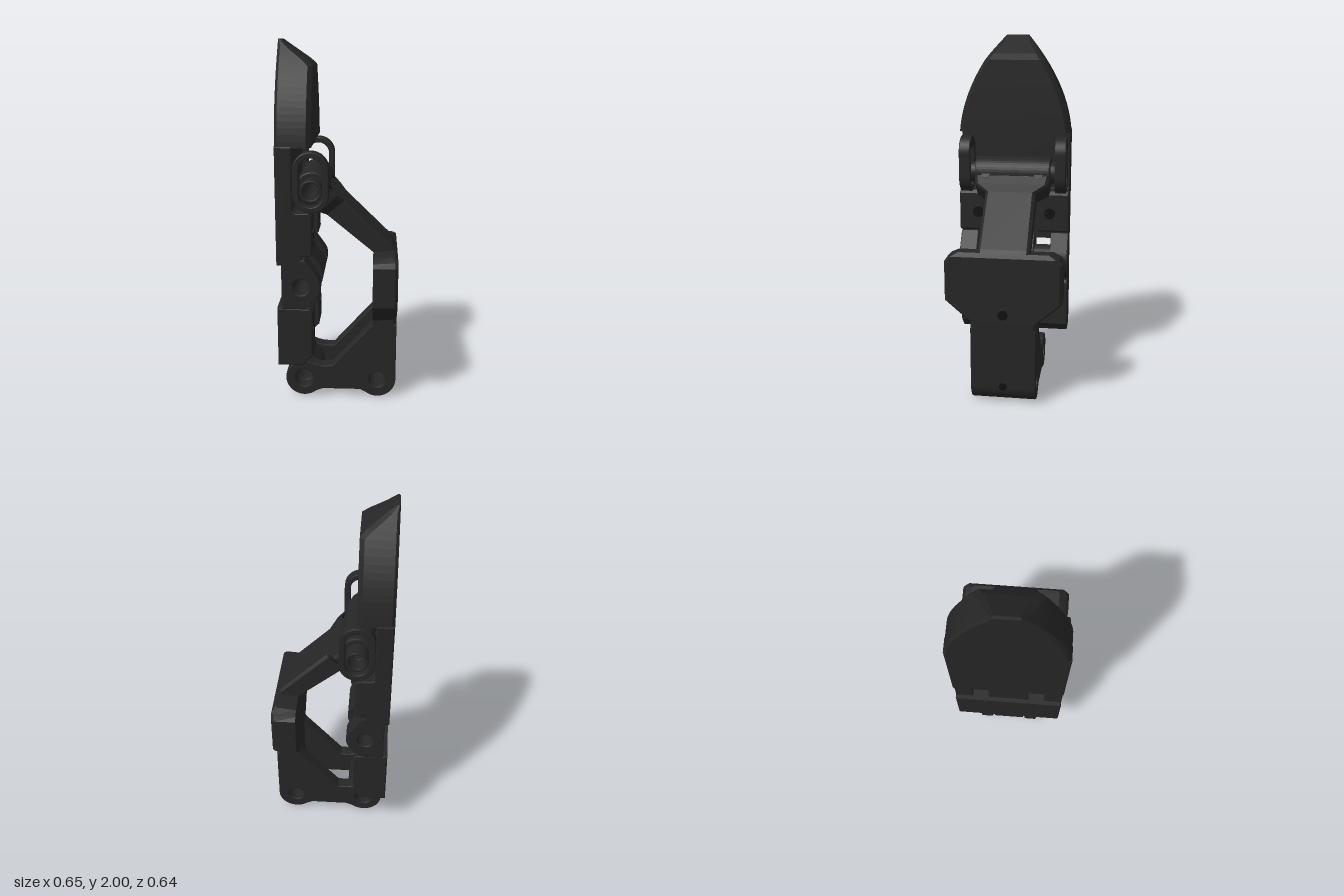
import * as THREE from 'three';

const dark = new THREE.MeshStandardMaterial({ color: 0x262626 });
const holeDark = new THREE.MeshStandardMaterial({ color: 0x101010 });
const TAU = Math.PI * 2;

export function createModel() {
  const model = new THREE.Group();

  const add = (name, geometry, material = dark) => {
    const mesh = new THREE.Mesh(geometry, material);
    mesh.name = name;
    model.add(mesh);
    return mesh;
  };

  const box = (name, x0, x1, y0, y1, z0, z1) =>
    add(name, new THREE.BoxGeometry(x1 - x0, y1 - y0, z1 - z0))
      .position.set((x0 + x1) / 2, (y0 + y1) / 2, (z0 + z1) / 2);

  const polygon = (pts) => new THREE.Shape(pts.map((p) => new THREE.Vector2(...p)));

  const bore = (shape, x, y, r) => {
    shape.holes.push(new THREE.Path().absarc(x, y, r, 0, TAU, true));
    return shape;
  };

  // Extrudes a side profile (x, y) between z0 and z1, with a small edge bevel
  const slab = (name, shape, z0, z1, bevel = 0.008) => {
    const g = new THREE.ExtrudeGeometry(shape, {
      depth: z1 - z0 - 2 * bevel, bevelEnabled: bevel > 0, bevelThickness: bevel,
      bevelSize: bevel, bevelOffset: -bevel, bevelSegments: 2, curveSegments: 20,
    });
    g.translate(0, 0, z0 + bevel);
    return add(name, g);
  };

  const pair = (name, shape, z0, z1, bevel) => {
    slab('left' + name, shape, z0, z1, bevel);
    slab('right' + name, shape, -z1, -z0, bevel);
  };

  // Skins equal-length rings of points and closes both ends
  const loft = (name, rings) => {
    const n = rings[0].length, pos = [];
    const tri = (a, b, c) => pos.push(a, b, c);
    for (let i = 0; i + 1 < rings.length; i++) {
      for (let j = 0; j < n; j++) {
        const k = (j + 1) % n, A = rings[i], B = rings[i + 1];
        tri(A[j], A[k], B[k]);
        tri(A[j], B[k], B[j]);
      }
    }
    const last = rings[rings.length - 1];
    for (let j = 1; j + 1 < n; j++) {
      tri(rings[0][0], rings[0][j + 1], rings[0][j]);
      tri(last[0], last[j], last[j + 1]);
    }
    // Signed volume decides which way the faces must wind
    let volume = 0;
    for (let i = 0; i < pos.length; i += 3) {
      const [a, b, c] = pos.slice(i, i + 3).map((p) => new THREE.Vector3(...p));
      volume += a.dot(b.cross(c));
    }
    if (volume < 0) pos.reverse();
    const g = new THREE.BufferGeometry();
    g.setAttribute('position', new THREE.Float32BufferAttribute(pos.flat(), 3));
    g.computeVertexNormals();
    return add(name, g);
  };

  // Section between an outer and an inner (x, y) point, half width w, chamfered outside
  const section = ([ox, oy, ix, iy, w]) => {
    const c = 0.12, mx = ox + (ix - ox) * c, my = oy + (iy - oy) * c;
    return [[ix, iy, -w], [mx, my, -w], [ox, oy, -w + 0.016],
      [ox, oy, w - 0.016], [mx, my, w], [ix, iy, w]];
  };

  // Fingertip: arched upper half with a sloping tip
  const tip = [];
  for (let i = 0; i <= 16; i++) {
    const t = i / 16, y = 1.46 + 0.54 * t, u = (y - 1.4) / 0.6;
    const w = 0.065 + 0.255 * (1 - u * u);
    const b = -0.325, c = 0.015;
    const f = y > 1.88 ? -0.145 - (y - 1.88) * 1.37 : -0.135;
    const e = Math.min(0.025, (f - b) / 3);
    const cb = Math.min(c, (f - b) / 3);
    tip.push([[b, y, -w + c], [b + cb, y, -w], [f - e, y, -w], [f, y, -w + e],
      [f, y, w - e], [f - e, y, w], [b + cb, y, w], [b, y, w - c]]);
  }
  loft('fingertip', tip);

  // Fingertip: back plate, lower pads and bottom step
  slab('fingertipPlate', polygon([[-0.325, 0.83], [-0.19, 0.83], [-0.19, 1.1], [-0.235, 1.13],
    [-0.235, 1.47], [-0.325, 1.47]]), -0.32, 0.32);
  pair('FingertipPad', polygon([[-0.24, 0.88], [-0.145, 0.88], [-0.135, 0.89], [-0.135, 1.1],
    [-0.15, 1.12], [-0.24, 1.12]]), 0.14, 0.32);

  // Slotted guide loops on both sides of the fingertip
  const stadium = (Shape, r, low, high) => {
    const s = new Shape();
    s.absarc(-0.14, high, r, 0, Math.PI);
    s.absarc(-0.14, low, r, Math.PI, TAU);
    s.closePath();
    return s;
  };
  const loop = stadium(THREE.Shape, 0.095, 1.21, 1.345);
  loop.holes.push(stadium(THREE.Path, 0.062, 1.21, 1.345));
  pair('GuideLoop', loop, 0.24, 0.305, 0.006);

  // Hollow pivot tube at the head of the arm, with bosses riding in the loops
  const ringShape = (x, y, r, hole) =>
    bore(new THREE.Shape().absarc(x, y, r, 0, TAU), x, y, hole);
  slab('armPivot', ringShape(-0.14, 1.23, 0.09, 0.045), -0.215, 0.215);
  pair('PivotBoss', ringShape(-0.14, 1.23, 0.06, 0.045), 0.21, 0.3, 0.004);

  // Diagonal arm: wide head narrowing to a slim bar
  loft('diagonalArm', [
    [-0.085, 1.275, -0.14, 1.145, 0.213],
    [-0.05, 1.225, -0.13, 1.125, 0.213],
    [-0.01, 1.185, -0.1, 1.1, 0.205],
    [0.03, 1.148, -0.065, 1.07, 0.14],
    [0.295, 0.89, 0.19, 0.86, 0.14],
    [0.32, 0.85, 0.19, 0.82, 0.14],
  ].map(section));

  // Front frame with side wings
  loft('frontFrame', [
    [0.305, 0.872, 0.19, 0.858, 0.26],
    [0.325, 0.85, 0.19, 0.84, 0.3],
    [0.325, 0.82, 0.19, 0.82, 0.32],
    [0.325, 0.6, 0.19, 0.6, 0.32],
    [0.325, 0.48, 0.19, 0.47, 0.18],
    [0.325, 0.18, 0.19, 0.18, 0.18],
  ].map(section));

  // Base side plates with gusset and two bored ends
  const D = Math.PI / 180;
  const side = new THREE.Shape();
  side.absarc(0.22, 0.11, 0.105, -130 * D, 0);
  [[0.325, 0.45], [0.19, 0.45], [-0.04, 0.19], [-0.1, 0.19]].forEach((p) => side.lineTo(...p));
  side.absarc(-0.197, 0.11, 0.105, 60 * D, 310 * D);
  side.lineTo(-0.09, 0.045);
  side.lineTo(0.12, 0.045);
  side.closePath();
  bore(side, 0.22, 0.11, 0.047);
  bore(side, -0.197, 0.11, 0.052);
  pair('BaseSide', side, 0.105, 0.18, 0.006);

  const toe = new THREE.Shape();
  toe.absarc(0.22, 0.11, 0.105, 160 * D, 360 * D);
  toe.lineTo(0.325, 0.22);
  toe.lineTo(0.19, 0.22);
  toe.closePath();
  slab('baseToe', bore(toe, 0.22, 0.11, 0.047), -0.11, 0.11, 0);

  // Lower block with a central channel
  slab('lowerBlock', polygon([[-0.325, 0.255], [-0.19, 0.255], [-0.19, 0.59], [-0.325, 0.59]]),
    -0.32, 0.32);
  pair('LowerPad', polygon([[-0.22, 0.255], [-0.19, 0.255], [-0.135, 0.31], [-0.135, 0.57],
    [-0.15, 0.585], [-0.22, 0.585]]), 0.14, 0.32);

  // Lug that joins the lower block to the base pivot
  const lug = new THREE.Shape();
  lug.absarc(-0.197, 0.11, 0.1, 180 * D, 400 * D);
  [[-0.15, 0.21], [-0.175, 0.27], [-0.292, 0.27]].forEach((p) => lug.lineTo(...p));
  lug.closePath();
  slab('baseLug', bore(lug, -0.197, 0.11, 0.052), -0.095, 0.095);

  // Middle hinge: two outer ears and a central knuckle
  const ear = new THREE.Shape();
  ear.absarc(-0.197, 0.71, 0.107, -50 * D, 35 * D);
  [[-0.175, 0.865], [-0.3, 0.84], [-0.3, 0.585], [-0.175, 0.585]].forEach((p) => ear.lineTo(...p));
  ear.closePath();
  bore(ear, -0.197, 0.71, 0.045);
  pair('HingeEar', ear, 0.215, 0.32, 0.006);
  slab('hingeKnuckle', ear, -0.12, 0.12, 0.006);
  pair('HingeSleeve', ringShape(-0.197, 0.71, 0.075, 0.045), 0.11, 0.22, 0);

  // Small screw holes, facing +x
  const screw = (name, x, y, z, r, tilt = 0) => {
    const m = add(name, new THREE.CylinderGeometry(r, r, 0.006, 20), holeDark);
    m.rotation.z = -Math.PI / 2 + tilt;
    m.position.set(x, y, z);
  };
  screw('frameHole', 0.324, 0.53, 0, 0.028);
  screw('toeHole', 0.324, 0.11, 0, 0.022);
  for (const s of [1, -1]) {
    screw('fingertipScrew', -0.135, 0.99, s * 0.21, 0.032);
    screw('lowerScrew', -0.135, 0.43, s * 0.23, 0.032);
    screw('armHeadHole', -0.052, 1.232, s * 0.15, 0.024, 0.6);
  }

  return model;
}
